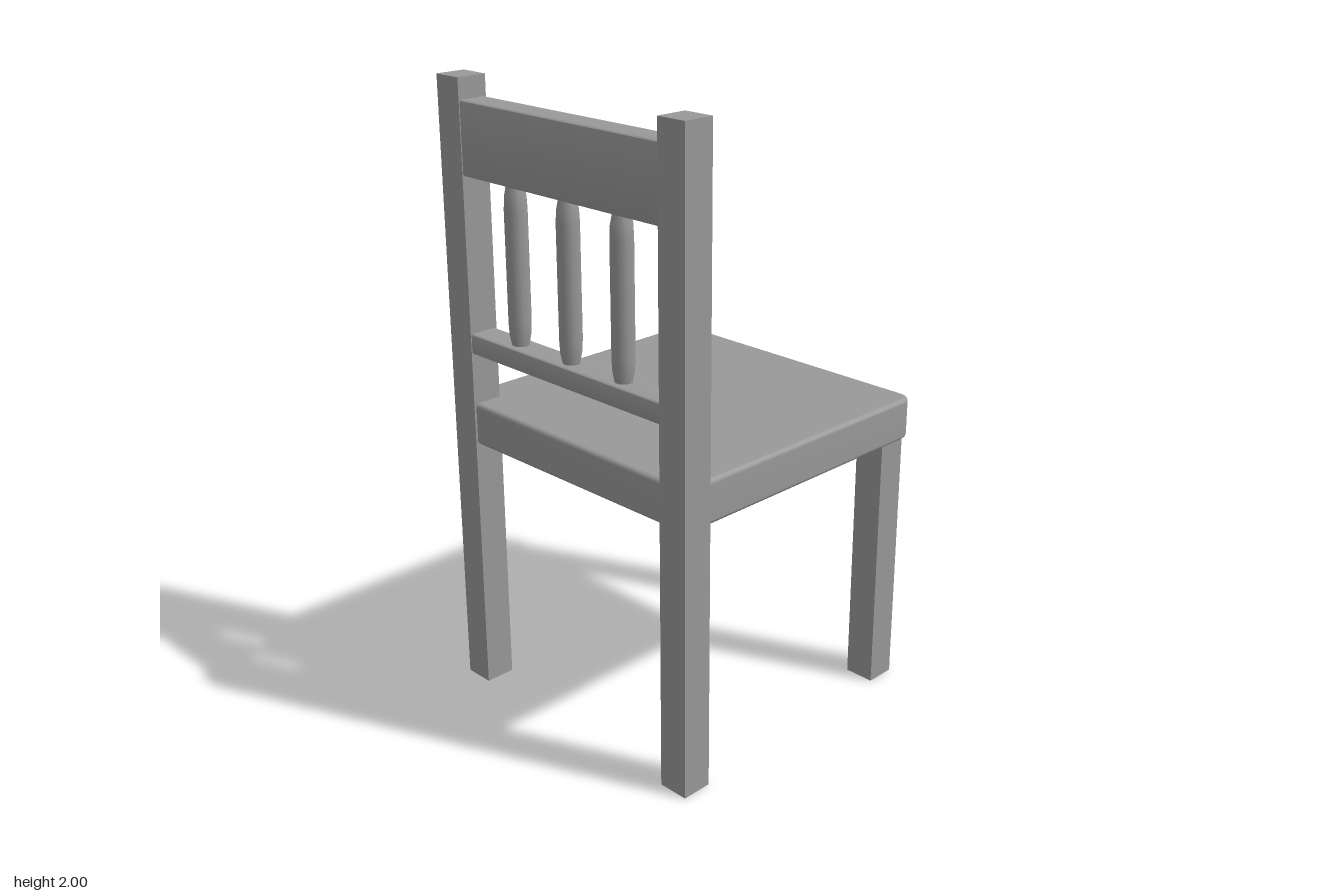
import * as THREE from 'three';
import { mergeVertices, toCreasedNormals } from 'three/addons/utils/BufferGeometryUtils.js';

const wood = new THREE.MeshStandardMaterial({ color: 0x999999 });
wood.name = 'grey wood';

function roundedRect(w, d, r) {
  const s = new THREE.Shape();
  const x = w / 2, y = d / 2;
  s.absarc(x - r, y - r, r, 0, Math.PI / 2);
  s.absarc(-x + r, y - r, r, Math.PI / 2, Math.PI);
  s.absarc(-x + r, -y + r, r, Math.PI, Math.PI * 1.5);
  s.absarc(x - r, -y + r, r, Math.PI * 1.5, Math.PI * 2);
  s.closePath();
  return s;
}

export function createModel() {
  const group = new THREE.Group();
  const add = (name, geometry, x, y, z) => {
    const mesh = new THREE.Mesh(geometry, wood);
    mesh.name = name;
    mesh.position.set(x, y, z);
    group.add(mesh);
    return mesh;
  };

  // Tall back posts and short front legs
  const post = new THREE.BoxGeometry(0.1, 2, 0.1);
  const leg = new THREE.BoxGeometry(0.1, 0.87, 0.1);
  for (const [side, s] of [['left', 1], ['right', -1]]) {
    add(side + 'BackPost', post, s * 0.462, 1, 0.46);
    add(side + 'FrontLeg', leg, s * 0.44, 0.435, -0.44);
  }

  // Seat slab with rounded corners and softened edges
  const bevel = 0.014;
  let seat = new THREE.ExtrudeGeometry(roundedRect(1.02 - 2 * bevel, 1.016 - 2 * bevel, 0.03), {
    depth: 0.137 - 2 * bevel, curveSegments: 5,
    bevelThickness: bevel, bevelSize: bevel, bevelSegments: 3,
  });
  seat.deleteAttribute('uv');
  seat.deleteAttribute('normal');
  seat = mergeVertices(seat, 1e-4);
  seat.computeVertexNormals();
  seat.rotateX(-Math.PI / 2);
  add('seat', seat, 0, 0.853 + bevel, -0.005);

  // Back rails, with narrow chamfers along their length
  const rail = (name, y0, y1) => {
    const c = 0.008;
    const geometry = new THREE.ExtrudeGeometry(roundedRect(0.094, y1 - y0, c), { depth: 0.84, bevelEnabled: false, curveSegments: 3 });
    geometry.translate(0, 0, -0.42).rotateY(Math.PI / 2);
    add(name, toCreasedNormals(geometry, 0.7), 0, (y0 + y1) / 2, 0.46);
  };
  rail('topRail', 1.71, 1.935);
  rail('lowerRail', 1.155, 1.22);

  // Eight-sided spindles with tapered ends
  const profile = [[0.026, 0], [0.034, 0.04], [0.036, 0.08], [0.036, 0.42], [0.034, 0.46], [0.026, 0.5]]
    .map(([r, y]) => new THREE.Vector2(r, y));
  const spindle = new THREE.LatheGeometry(profile, 8, Math.PI / 8);
  ['right', 'middle', 'left'].forEach((side, i) =>
    add(side + 'Spindle', spindle, [-0.232, -0.002, 0.22][i], 1.214, 0.46));

  return group;
}
